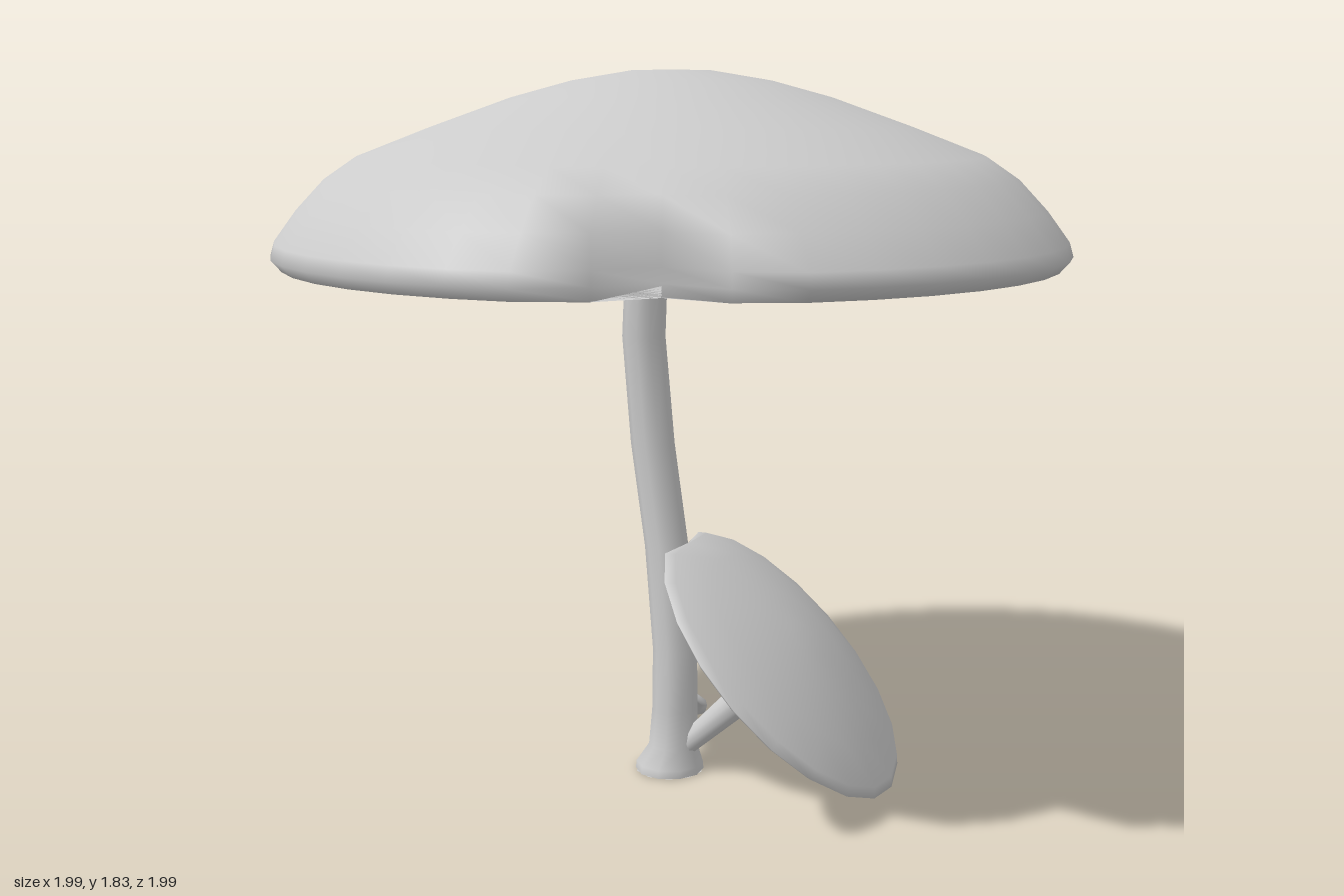
import * as THREE from 'three';
import { mergeVertices } from 'three/addons/utils/BufferGeometryUtils.js';

const material = new THREE.MeshStandardMaterial({ color: 0xcccccc, side: THREE.DoubleSide });

function smooth(geometry) {
  geometry.deleteAttribute('uv');
  geometry.deleteAttribute('normal');
  const merged = mergeVertices(geometry, 1e-4);
  merged.computeVertexNormals();
  return merged;
}

function part(name, geometry, parent) {
  const mesh = new THREE.Mesh(geometry, material);
  mesh.name = name;
  parent.add(mesh);
  return mesh;
}

// Lathed cap; the nick is a list of [degrees from +z, largest radius] that cuts into the rim
function capGeometry(profile, segments, nick = []) {
  const geometry = new THREE.LatheGeometry(profile.map(([r, y]) => new THREE.Vector2(r, y)), segments);
  const pos = geometry.attributes.position;
  for (let i = 0; i < pos.count; i++) {
    const x = pos.getX(i), z = pos.getZ(i), r = Math.hypot(x, z);
    const angle = THREE.MathUtils.radToDeg(Math.atan2(x, z));
    for (let k = 0; k + 1 < nick.length; k++) {
      const [a, ra] = nick[k], [b, rb] = nick[k + 1];
      if (angle < a || angle >= b) continue;
      const limit = ra + (rb - ra) * (angle - a) / (b - a);
      if (r > limit) pos.setXYZ(i, x * limit / r, pos.getY(i), z * limit / r);
    }
  }
  return smooth(geometry);
}

// Curved stem through level rings [x, y, z, radius], listed from the top down
function stemGeometry(rings, sides) {
  const geometry = new THREE.CylinderGeometry(1, 1, 1, sides, rings.length - 1, true);
  const pos = geometry.attributes.position;
  for (let i = 0; i < pos.count; i++) {
    const [x, y, z, r] = rings[Math.floor(i / (sides + 1))];
    pos.setXYZ(i, x + pos.getX(i) * r, y, z + pos.getZ(i) * r);
  }
  return smooth(geometry);
}

// Straight tapered stem between two points
function straightStem(name, from, to, rFrom, rTo, parent) {
  const a = new THREE.Vector3(...from), b = new THREE.Vector3(...to);
  const mesh = part(name, new THREE.CylinderGeometry(rTo, rFrom, a.distanceTo(b), 10), parent);
  mesh.position.copy(a).add(b).multiplyScalar(0.5);
  mesh.quaternion.setFromUnitVectors(new THREE.Vector3(0, 1, 0), b.sub(a).normalize());
}

function placeCap(mesh, position, normal) {
  mesh.position.set(...position);
  mesh.quaternion.setFromUnitVectors(new THREE.Vector3(0, 1, 0), new THREE.Vector3(...normal).normalize());
}

export function createModel() {
  const model = new THREE.Group();
  model.name = 'mushroomCluster';

  // Large mushroom: hollow cap with a nick in the front rim
  const large = new THREE.Group();
  large.name = 'largeMushroom';
  const largeProfile = [
    [0, 1.6], [0.3, 1.58], [0.6, 1.52], [0.79, 1.43], [0.87, 1.37], [0.93, 1.345], [0.97, 1.347],
    [0.995, 1.375], [0.985, 1.41], [0.93, 1.485], [0.86, 1.56], [0.78, 1.615], [0.6, 1.685],
    [0.4, 1.757], [0.25, 1.798], [0.1, 1.823], [0, 1.825],
  ];
  part('largeCap', capGeometry(largeProfile, 40, [[3, 1], [9, 0.915], [18, 0.82], [27, 0.94], [36, 1]]), large);

  // Bent stem, flared at the root and under the cap
  part('largeStem', stemGeometry([
    [-0.06, 1.6, -0.02, 0.12], [-0.065, 1.55, -0.02, 0.075], [-0.07, 1.42, -0.02, 0.055],
    [-0.075, 1.33, -0.02, 0.055], [-0.088, 1.15, -0.035, 0.056], [-0.065, 0.87, -0.038, 0.057],
    [-0.02, 0.6, -0.02, 0.057], [0.008, 0.33, -0.005, 0.058], [0.01, 0.17, 0, 0.06],
    [0.005, 0.07, 0, 0.064], [-0.005, 0.02, 0, 0.088], [-0.005, 0, 0, 0.09],
  ], 10), large);
  const foot = part('stemFoot', new THREE.CircleGeometry(0.09, 10), large);
  foot.rotation.x = Math.PI / 2;
  foot.position.set(-0.005, 0, 0);
  model.add(large);

  // Medium mushroom leaning out to the left side
  const medium = new THREE.Group();
  medium.name = 'mediumMushroom';
  const mediumCap = part('mediumCap', capGeometry([
    [0, 0.03], [0.2, 0.02], [0.36, 0], [0.405, -0.008], [0.42, 0.002], [0.4, 0.02],
    [0.3, 0.054], [0.17, 0.08], [0.06, 0.09], [0, 0.09],
  ], 20, [[-110, 0.42], [-90, 0.385], [-72, 0.42]]), medium);
  placeCap(mediumCap, [0.31, 0.335, 0.022], [0.725, 0.69, 0]);
  straightStem('mediumStem', [0.03, 0.06, 0.005], [0.325, 0.34, 0.015], 0.028, 0.05, medium);
  model.add(medium);

  // Tiny mushroom sprouting at the back of the root
  const tiny = new THREE.Group();
  tiny.name = 'tinyMushroom';
  const tinyCap = part('tinyCap', capGeometry([
    [0, 0.012], [0.05, 0], [0.066, 0], [0.06, 0.016], [0.035, 0.034], [0, 0.04],
  ], 8), tiny);
  placeCap(tinyCap, [-0.015, 0.125, -0.145], [-0.1, 0.7, -0.7]);
  straightStem('tinyStem', [0, 0.05, -0.04], [-0.015, 0.14, -0.155], 0.016, 0.02, tiny);
  model.add(tiny);

  return model;
}
